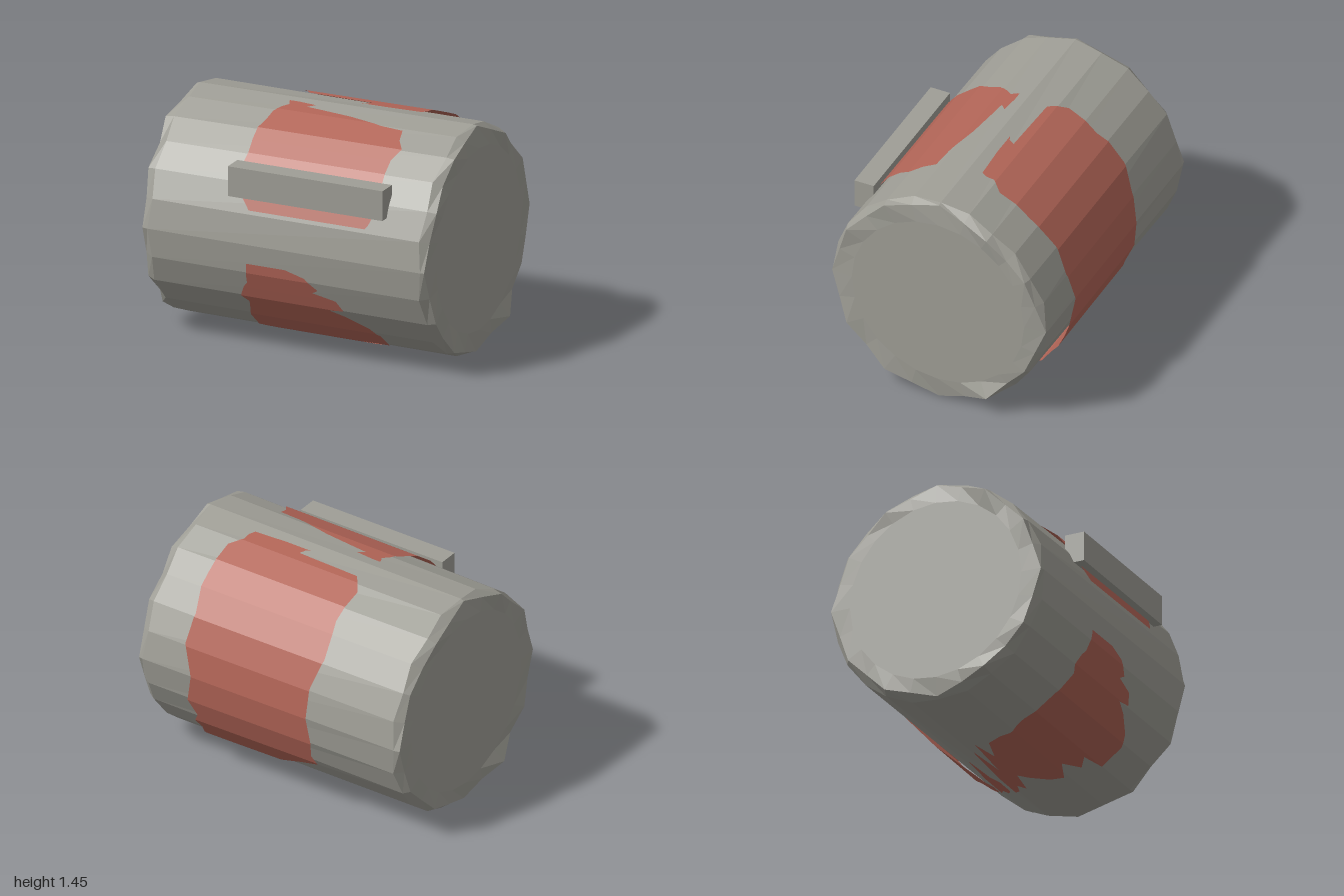
import * as THREE from 'three';

const SIDES = 24, CY = 0.73, RAD = Math.PI / 180;
const grey = new THREE.MeshStandardMaterial({ color: 0x9f9e96, flatShading: true });
grey.name = 'weathered grey';
const red = new THREE.MeshStandardMaterial({ color: 0xb26557, flatShading: true, side: THREE.DoubleSide });
red.name = 'faded red';

// Point at angle a (degrees, from front towards top) around the long axis
const at = (x, a, r) => [x, CY + r * Math.sin(a * RAD), r * Math.cos(a * RAD)];

// Radius of the undented faceted wall at any angle; it narrows slightly towards -x
function wall(x, a) {
  const step = 360 / SIDES, m = ((a % step) + step) % step;
  return (0.722 + 0.006 * x) * Math.cos(step / 2 * RAD) / Math.cos((m - step / 2) * RAD);
}

// Flat-shaded surface through a grid of points
function gridGeometry(rows) {
  const pos = [], idx = [], n = rows[0].length;
  rows.forEach(row => row.forEach(p => pos.push(...p)));
  for (let i = 0; i < rows.length - 1; i++) {
    for (let j = 0; j < n - 1; j++) {
      const a = i * n + j, b = a + n;
      idx.push(a, b, b + 1, a, b + 1, a + 1);
    }
  }
  const g = new THREE.BufferGeometry();
  g.setAttribute('position', new THREE.Float32BufferAttribute(pos, 3));
  g.setIndex(idx);
  const flat = g.toNonIndexed();
  flat.computeVertexNormals();
  return flat;
}

// Corners of each dented end, every 30 degrees: [reach, corner radius, wall radius]
const MINUS_END = [
  [0.955, 0.71, 0.716], [0.97, 0.69, 0.7], [0.98, 0.685, 0.698], [0.94, 0.705, 0.714],
  [0.97, 0.67, 0.706], [0.955, 0.68, 0.708], [0.96, 0.708, 0.716], [0.96, 0.685, 0.712],
  [0.965, 0.685, 0.712], [0.94, 0.7, 0.712], [1, 0.685, 0.71], [0.97, 0.69, 0.714],
];
const PLUS_END = [
  [0.945, 0.72, 0.726], [0.975, 0.705, 0.722], [0.97, 0.715, 0.724], [0.945, 0.722, 0.727],
  [0.975, 0.665, 0.693], [0.965, 0.675, 0.694], [0.945, 0.72, 0.724], [0.96, 0.67, 0.695],
  [1, 0.685, 0.705], [0.94, 0.721, 0.726], [0.97, 0.712, 0.722], [0.97, 0.705, 0.722],
];

// Drum: 24-sided wall, chamfer cut between the corners of each twelve-sided end
function drumGeometry() {
  const ring = f => Array.from({ length: SIDES + 1 }, (_, k) => f(k % SIDES, (k % SIDES) * 360 / SIDES));
  const end = (s, corners) => {
    const mean = (k, i) => (corners[Math.floor(k / 2)][i] + corners[Math.ceil(k / 2) % 12][i]) / 2;
    return [
      ring((k, a) => at(s * (k % 2 ? 0.9 : 0.92), a, mean(k, 2))),
      ring((k, a) => at(s * (k % 2 ? 0.955 : mean(k, 0)), a, mean(k, 1) * (k % 2 ? 0.966 : 1))),
      ring((k, a) => at(s * 0.96, a, 0.58)),
      ring(() => [s * 0.96, CY, 0]),
    ];
  };
  return gridGeometry([...end(-1, MINUS_END).reverse(), ...end(1, PLUS_END)]);
}

// Painted patch: rows of [angle, lower x edge, upper x edge], laid just over the wall
function patch(name, rows) {
  const samples = [];
  for (let i = 0; i < rows.length - 1; i++) {
    const [a0, l0, r0] = rows[i], [a1, l1, r1] = rows[i + 1];
    const cuts = [a0];
    for (let c = Math.floor(a0 / 15) * 15 + 15; c < a1; c += 15) cuts.push(c);
    cuts.forEach(a => {
      const t = (a - a0) / (a1 - a0);
      samples.push([a, l0 + (l1 - l0) * t, r0 + (r1 - r0) * t]);
    });
  }
  samples.push(rows[rows.length - 1]);
  const side = e => samples.map(s => at(s[e], s[0], wall(s[e], s[0]) + 0.004));
  const mesh = new THREE.Mesh(gridGeometry([side(1), side(2)]), red);
  mesh.name = name;
  return mesh;
}

export function createModel() {
  const model = new THREE.Group();
  model.name = 'drum';

  const drum = new THREE.Mesh(drumGeometry(), grey);
  drum.name = 'drumBody';
  model.add(drum);

  // Bar on the upper front
  const bar = new THREE.Mesh(new THREE.BoxGeometry(1.04, 0.19, 0.13), grey);
  bar.name = 'frontBar';
  bar.position.set(0.14, 1.115, 0.645);
  model.add(bar);

  // Worn red paint, patch by patch around the drum
  model.add(patch('upperFrontPaint', [
    [17, -0.25, 0.53], [19, -0.27, 0.55], [23, -0.31, 0.57], [38, -0.36, 0.58], [45, -0.34, 0.58],
    [53, -0.35, 0.58], [60, -0.35, 0.62], [66, -0.33, 0.57], [73, -0.32, 0.55], [74, -0.31, 0.4],
    [78, -0.29, 0.17], [80, -0.27, -0.03], [81, -0.26, -0.14], [84, -0.28, -0.1], [85, -0.28, -0.22],
  ]));
  model.add(patch('backPaint', [
    [96, 0.13, 0.3], [97, 0.16, 0.53], [100, 0.18, 0.55], [101, -0.25, 0.55], [104, -0.28, 0.55],
    [110, -0.33, 0.62], [128, -0.31, 0.63], [135, -0.33, 0.63], [148, -0.34, 0.6], [163, -0.29, 0.62],
    [180, -0.28, 0.56], [195, -0.3, 0.6], [205, -0.27, 0.56], [211, -0.3, 0.6], [217, -0.14, 0.58],
    [224, 0.02, 0.6], [231, 0.22, 0.56], [236, 0.34, 0.58], [242, 0.48, 0.56],
  ]));
  model.add(patch('undersideStreak', [
    [243, 0.35, 0.57], [246, 0.05, 0.52], [248, 0.3, 0.55], [251, 0.36, 0.5],
  ]));
  model.add(patch('lowerFrontPaint', [
    [-106, 0.3, 0.5], [-103, -0.15, 0.48], [-101, 0.15, 0.4], [-98, -0.24, 0.45], [-95, -0.05, 0.25],
    [-90, -0.25, 0.3], [-83, -0.28, 0.4], [-77, -0.28, 0.43], [-72, -0.32, 0.28], [-67, -0.34, 0.43],
    [-62, -0.34, 0.35], [-60, -0.34, 0.54], [-47, -0.33, 0.54], [-41, -0.31, 0.49], [-34, -0.29, 0.36],
    [-30.5, -0.33, 0.26], [-29.5, -0.33, 0.36], [-24, -0.3, 0.32], [-21, -0.27, 0.17], [-19, -0.27, 0.21],
    [-13, -0.26, 0.13], [-10, -0.26, 0],
  ]));
  return model;
}
